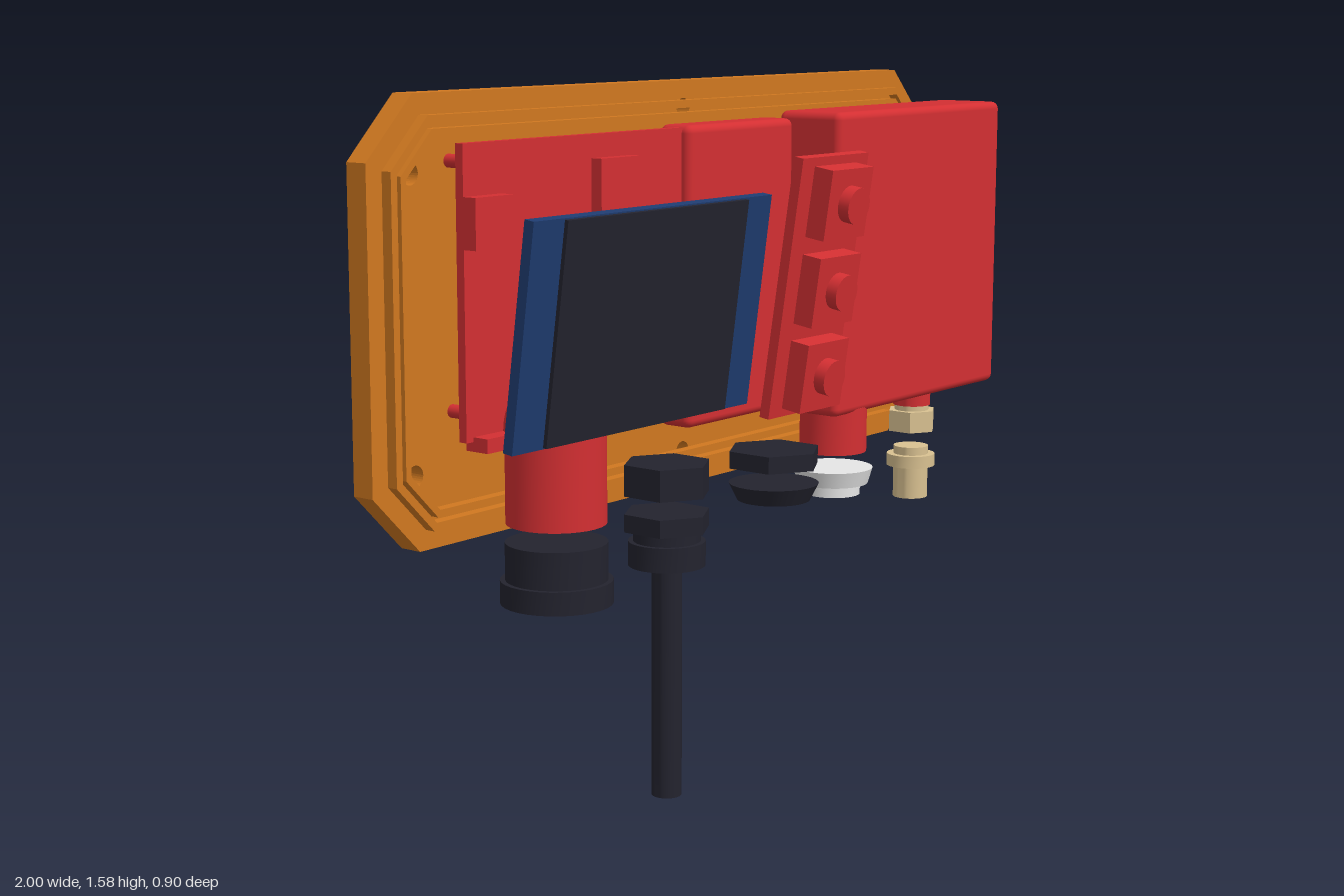
import * as THREE from 'three';
import { toCreasedNormals } from 'three/addons/utils/BufferGeometryUtils.js';
import { RoundedBoxGeometry } from 'three/addons/geometries/RoundedBoxGeometry.js';

export function createModel() {
  const model = new THREE.Group();
  model.name = 'mountedDevice';
  const mat = (name, color) => {
    const m = new THREE.MeshStandardMaterial({ color });
    m.name = name;
    return m;
  };
  const orange = mat('orange', 0xd07820), red = mat('red', 0xd32f32), dark = mat('nearBlack', 0x23232e);
  const blue = mat('blue', 0x1f3c70), grey = mat('grey', 0x626262), white = mat('white', 0xe6e6e6), tan = mat('tan', 0xd9c191);

  const add = (name, geo, material, x, y, z, parent = model) => {
    const mesh = new THREE.Mesh(geo, material);
    mesh.name = name;
    mesh.position.set(x, y, z);
    parent.add(mesh);
    return mesh;
  };
  // box given by its limits, optionally rounded
  const box = (name, m, x0, x1, y0, y1, z0, z1, r = 0, parent = model) => {
    const s = [x1 - x0, y1 - y0, z1 - z0];
    const geo = r ? new RoundedBoxGeometry(...s, 3, r) : new THREE.BoxGeometry(...s);
    return add(name, geo, m, (x0 + x1) / 2, (y0 + y1) / 2, (z0 + z1) / 2, parent);
  };
  // upright cylinder between two heights
  const post = (name, m, x, y0, y1, r, sides = 32, z = 0.24, rTop = r) =>
    add(name, toCreasedNormals(new THREE.CylinderGeometry(rTop, r, y1 - y0, sides), 0.6), m, x, (y0 + y1) / 2, z);
  // cylinder along z
  const rod = (name, m, x, y, z0, z1, r, parent = model, sides = 24) => {
    const mesh = add(name, new THREE.CylinderGeometry(r, r, z1 - z0, sides), m, x, y, (z0 + z1) / 2, parent);
    mesh.rotation.x = Math.PI / 2;
    return mesh;
  };
  // rectangle with cut corners
  const octagon = (w, h, c, T = THREE.Shape) => {
    const a = w / 2, b = h / 2;
    return new T([[a - c, -b], [a, c - b], [a, b - c], [a - c, b], [c - a, b], [-a, b - c], [-a, c - b], [c - a, -b]]
      .map(([x, y]) => new THREE.Vector2(x, y)));
  };
  const hole = (x, y, r) => new THREE.Path().absarc(x, y, r, 0, Math.PI * 2, true);
  const extrude = (name, shape, z0, z1) => add(name,
    new THREE.ExtrudeGeometry(shape, { depth: z1 - z0, bevelEnabled: false, curveSegments: 16 }), orange, CX, CY, z0);

  // back plate, in two layers so the screw holes are wider at the back
  const CX = -0.01, CY = 1.115, W = 1.98, H = 0.925;
  const screws = [[-0.87, 0.305], [-0.87, -0.305], [0.87, 0.305], [0.87, -0.305], [0, 0.4], [0, -0.385]];
  for (const [name, z0, z1, r] of [['plateBack', 0.042, 0.062, 0.034], ['plateFront', 0.062, 0.095, 0.023]]) {
    const s = octagon(W, H, 0.13);
    screws.forEach(([x, y]) => s.holes.push(hole(x, y, r)));
    extrude(name, s, z0, z1);
  }
  // raised sealing ribs round the front
  for (const [outer, inner] of [[0.043, 0.06], [0.07, 0.085]]) {
    const inset = (d, T) => octagon(W - 2 * d, H - 2 * d, 0.13 - 0.586 * d, T);
    const s = inset(outer);
    s.holes.push(inset(inner, THREE.Path));
    extrude('sealingRib', s, 0.095, 0.12);
  }

  // ball mount on the back
  const boss = octagon(0.69, 0.57, 0.1);
  for (const x of [-0.265, 0.265]) for (const y of [-0.225, 0.225]) boss.holes.push(hole(x, y, 0.02));
  extrude('mountPad', boss, 0, 0.042);
  const flange = rod('mountFlange', grey, CX, CY, -0.038, 0, 1, model, 64);
  flange.scale.set(0.355, 1, 0.292);
  rod('mountStem', grey, CX, CY, -0.16, -0.03, 0.09, model, 32);
  add('mountBall', new THREE.SphereGeometry(0.167, 40, 28), dark, CX, CY, -0.28);

  // large housing with corner spacers
  box('largeHousing', red, 0.285, 0.995, 0.79, 1.5, 0.145, 0.32, 0.018);
  for (const x of [0.33, 0.955]) for (const y of [0.825, 1.46]) rod('housingSpacer', red, x, y, 0.09, 0.15, 0.018);

  // middle housing
  box('middleHousing', red, -0.125, 0.268, 0.81, 1.485, 0.115, 0.205, 0.018);

  // circuit board with its parts and spacers
  box('circuitBoard', red, -0.82, -0.12, 0.88, 1.48, 0.162, 0.182);
  box('boardConnector', red, -0.82, -0.71, 1.27, 1.375, 0.18, 0.215);
  box('boardChip', red, -0.43, -0.3, 1.16, 1.43, 0.18, 0.21);
  box('plugBracket', red, -0.8, -0.465, 0.86, 0.89, 0.162, 0.22);
  for (const x of [-0.77, -0.49, -0.15]) for (const y of [0.93, 1.44]) rod('boardSpacer', red, x, y, 0.09, 0.165, 0.014);

  // display leaning forward at the top
  const display = new THREE.Group();
  display.name = 'display';
  display.position.set(-0.4875, CY, 0.37);
  display.rotation.x = 0.135;
  model.add(display);
  box('displayBoard', blue, -0.3825, 0.3825, -0.233, 0.233, -0.012, 0.012, 0, display);
  box('displayScreen', dark, -0.292, 0.29, -0.23, 0.23, 0.012, 0.021, 0, display);
  for (const y of [-0.06, 0.06]) rod('displayPin', blue, 0.355, y, -0.05, -0.01, 0.02, display);

  // leaning panel with three push buttons
  const panel = new THREE.Group();
  panel.name = 'buttonPanel';
  panel.position.set(0.176, 1.115, 0.342);
  panel.rotation.x = 0.15;
  model.add(panel);
  box('panelBoard', red, -0.128, 0.128, -0.3, 0.3, -0.025, 0, 0, panel);
  for (const y of [-0.2, 0, 0.2]) {
    box('buttonBase', red, -0.08, 0.08, y - 0.08, y + 0.08, 0, 0.05, 0, panel);
    rod('buttonCap', red, 0, y, 0.05, 0.078, 0.042, panel);
  }

  // round plug at the lower left
  post('plugBody', red, -0.615, 0.69, 0.9, 0.106);
  add('plugDome', new THREE.SphereGeometry(0.113, 32, 20, 0, Math.PI * 2, 0, Math.PI / 2), red, -0.615, 0.89, 0.24);
  post('plugCollar', dark, -0.615, 0.565, 0.65, 0.108);
  post('plugRim', dark, -0.615, 0.52, 0.57, 0.119);

  // cable gland and hanging cable
  post('glandNut', dark, -0.248, 0.69, 0.76, 0.1, 6);
  post('glandUpper', dark, -0.248, 0.61, 0.65, 0.1, 6);
  post('glandNeck', dark, -0.248, 0.585, 0.61, 0.075);
  post('glandCap', dark, -0.248, 0.53, 0.585, 0.086);
  post('cable', dark, -0.248, 0, 0.54, 0.034);

  // blind plug
  post('blindNut', dark, 0.15, 0.69, 0.73, 0.112, 6);
  post('blindCap', dark, 0.15, 0.61, 0.65, 0.085, 32, 0.24, 0.105);

  // lower push switch
  post('switchBody', red, 0.39, 0.69, 0.8, 0.08);
  post('switchRing', white, 0.39, 0.612, 0.65, 0.085, 32, 0.24, 0.096);
  post('switchCap', white, 0.39, 0.585, 0.615, 0.066);

  // aerial socket
  post('socketBase', red, 0.735, 0.755, 0.8, 0.046);
  post('socketNeck', tan, 0.735, 0.735, 0.76, 0.042);
  post('socketNut', tan, 0.735, 0.69, 0.742, 0.062, 6);
  post('socketHead', tan, 0.735, 0.52, 0.65, 0.043);
  post('socketRing', tan, 0.735, 0.6, 0.63, 0.06);

  return model;
}
